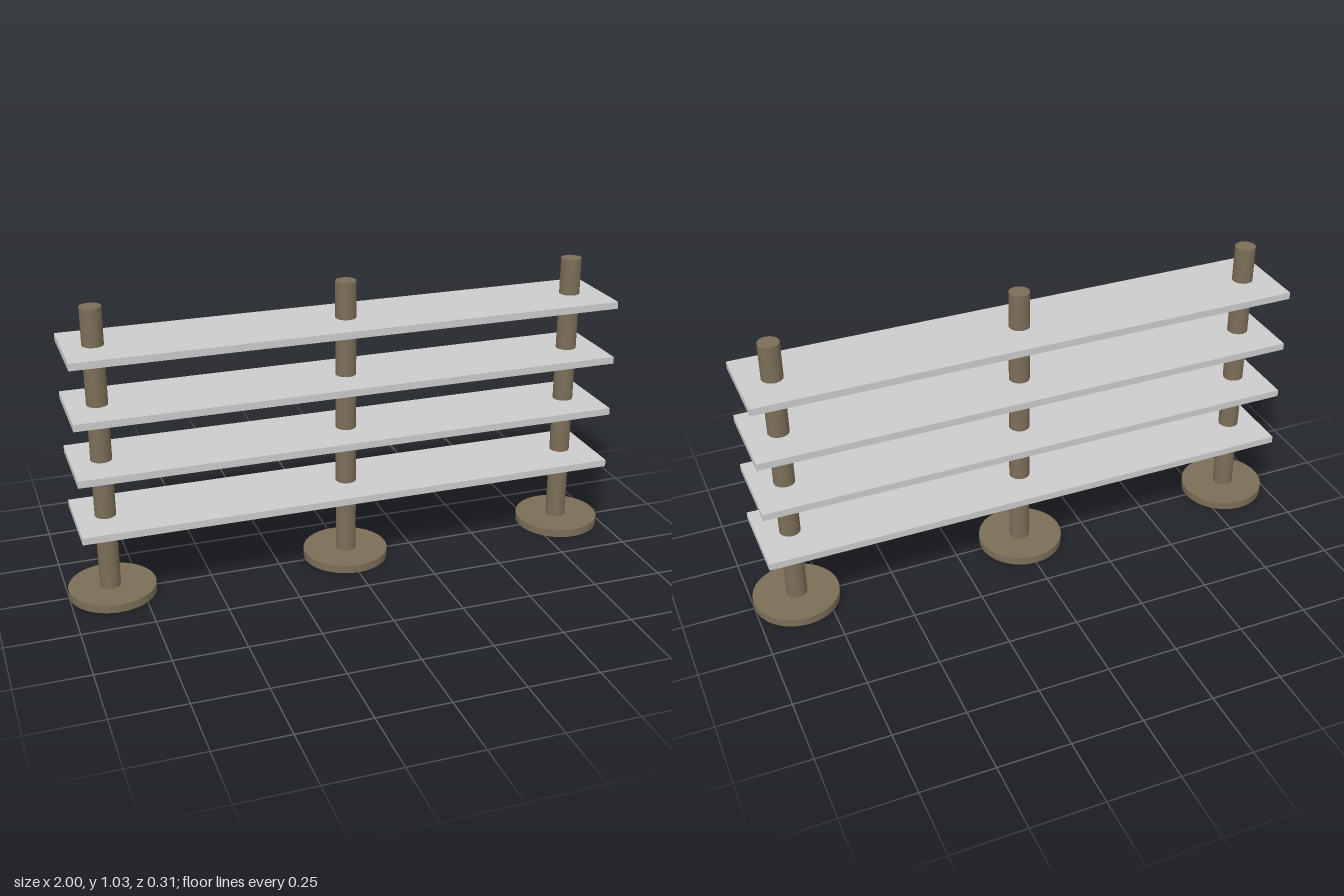
import * as THREE from 'three';

export function createModel() {
  const model = new THREE.Group();
  const postMaterial = new THREE.MeshStandardMaterial({ color: 0x7b6e58 });
  const shelfMaterial = new THREE.MeshStandardMaterial({ color: 0xcccccc });

  function add(name, geometry, material, x, y, z = 0) {
    const mesh = new THREE.Mesh(geometry, material);
    mesh.name = name;
    mesh.position.set(x, y, z);
    model.add(mesh);
  }

  // Three round posts, each on a flat disc foot
  const footHeight = 0.029;
  const postTop = 1.034;
  const foot = new THREE.CylinderGeometry(0.151, 0.151, footHeight, 48);
  const post = new THREE.CylinderGeometry(0.036, 0.036, postTop - footHeight, 32);
  const supports = [
    { side: 'right', footX: -0.849, postX: -0.856 },
    { side: 'middle', footX: 0, postX: 0.002 },
    { side: 'left', footX: 0.849, postX: 0.846 },
  ];
  for (const { side, footX, postX } of supports) {
    add(`${side}Foot`, foot, postMaterial, footX, footHeight / 2, -0.001);
    add(`${side}Post`, post, postMaterial, postX, (postTop + footHeight) / 2);
  }

  // Four thin shelves threaded on the posts
  const shelf = new THREE.BoxGeometry(1.916, 0.025, 0.306);
  [0.285, 0.49, 0.687, 0.892].forEach((y, i) => {
    add(`shelf${i + 1}`, shelf, shelfMaterial, 0, y);
  });

  return model;
}
